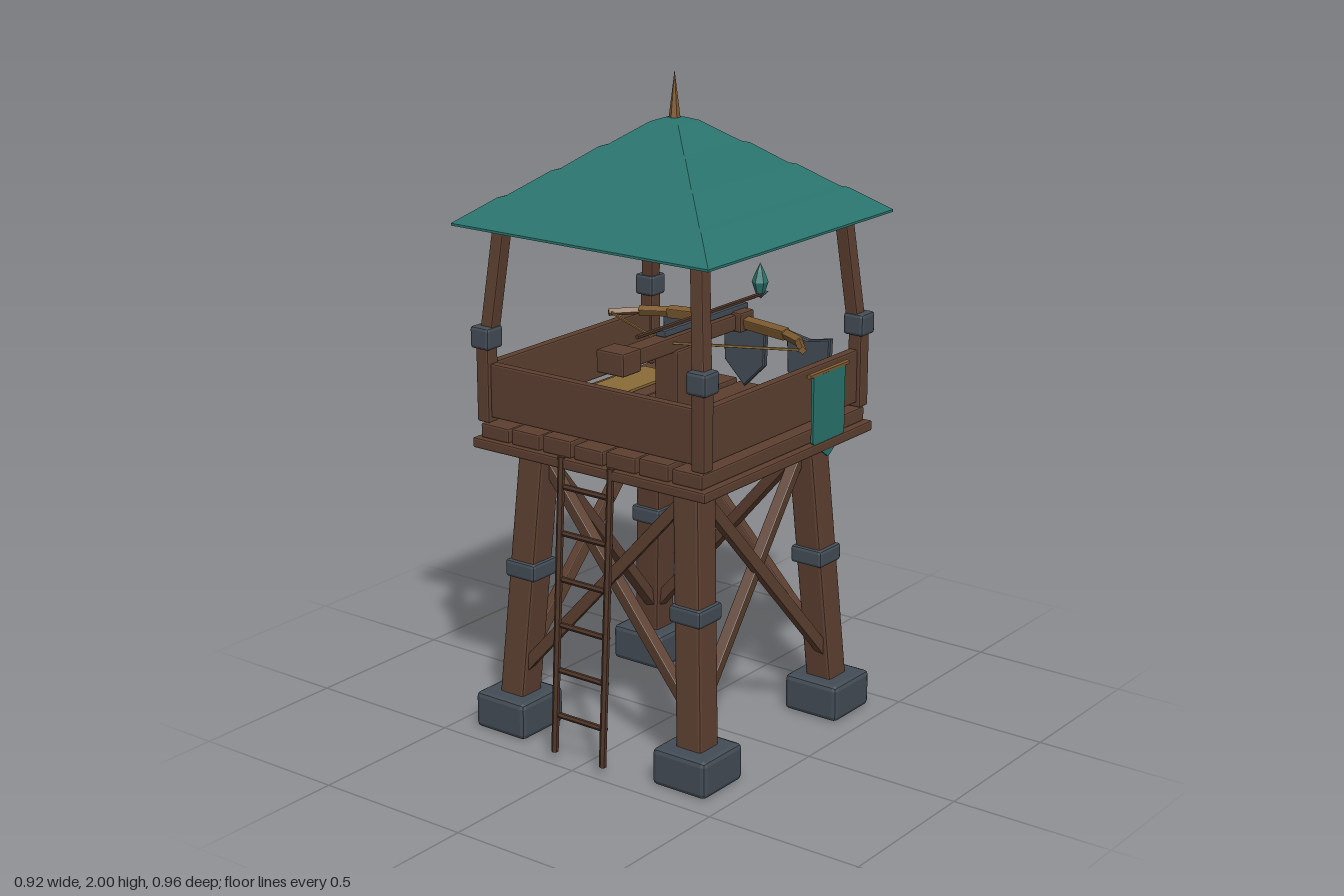
import * as THREE from 'three';
import { RoundedBoxGeometry } from 'three/addons/geometries/RoundedBoxGeometry.js';

const paint = (name, color) => {
  const m = new THREE.MeshStandardMaterial({ color });
  m.name = name;
  return m;
};

export function createModel() {
  const model = new THREE.Group();
  model.name = 'watchtower';
  const wood = paint('wood', 0x5c3f30);
  const darkWood = paint('dark wood', 0x4d3427);
  const slate = paint('slate', 0x434c55);
  const teal = paint('teal', 0x2a736d);
  const straw = paint('straw', 0x8a6c38);
  const brass = paint('brass', 0x7d5a30);

  // Faceted normals on any geometry
  const flat = (g) => {
    const f = g.index ? g.toNonIndexed() : g;
    f.computeVertexNormals();
    return f;
  };
  const add = (name, geometry, material, x = 0, y = 0, z = 0) => {
    const m = new THREE.Mesh(flat(geometry), material);
    m.name = name;
    m.position.set(x, y, z);
    model.add(m);
    return m;
  };
  // Chamfered block
  const block = (name, w, h, d, material, x, y, z, bevel = 0.006) =>
    add(name, new RoundedBoxGeometry(w, h, d, 1, bevel), material, x, y, z);
  // Square or round bar between two points
  const UP = new THREE.Vector3(0, 1, 0);
  const bar = (name, a, b, w, material, sides = 0) => {
    const p = new THREE.Vector3(...a), q = new THREE.Vector3(...b);
    const len = p.distanceTo(q);
    const g = sides ? new THREE.CylinderGeometry(w / 2, w / 2, len, sides)
      : new RoundedBoxGeometry(w, len, w, 1, w * 0.1);
    const m = add(name, g, material);
    m.position.copy(p).lerp(q, 0.5);
    m.quaternion.setFromUnitVectors(UP, q.sub(p).normalize());
    return m;
  };

  // Four corners: footing, leaning leg, collar, railing post, roof post
  for (const sx of [-1, 1]) {
    for (const sz of [-1, 1]) {
      const at = (r, y) => [sx * r, y, sz * r];
      block('footing', 0.19, 0.115, 0.19, slate, ...at(0.337, 0.0575), 0.015);
      bar('leg', at(0.336, 0.08), at(0.283, 0.9), 0.09, wood);
      block('legCollar', 0.112, 0.055, 0.112, slate, ...at(0.307, 0.512), 0.01);
      block('cornerPost', 0.046, 0.24, 0.046, wood, ...at(0.391, 1.095));
      block('postCollar', 0.07, 0.068, 0.07, slate, ...at(0.391, 1.232), 0.01);
      bar('roofPost', at(0.386, 1.22), at(0.352, 1.58), 0.042, wood);
    }
  }

  // Crossed braces on every side
  for (const s of [-1, 1]) {
    for (const d of [-1, 1]) {
      const off = d * 0.012;
      bar('brace', [d * 0.27, 0.85, s * 0.285 + off], [-d * 0.315, 0.19, s * 0.33 + off], 0.036, wood);
      bar('brace', [s * 0.285 + off, 0.85, d * 0.27], [s * 0.33 + off, 0.19, -d * 0.315], 0.036, wood);
    }
  }

  // Ladder leaning on the front
  const ladderZ = (y) => 0.468 - (y - 0.03) * 0.054;
  for (const s of [-1, 1]) {
    bar('ladderRail', [s * 0.09, 0.025, ladderZ(0.025)], [s * 0.09, 0.93, ladderZ(0.93)], 0.022, darkWood, 6);
  }
  for (let i = 0; i < 6; i++) {
    const y = 0.14 + i * 0.14;
    bar('ladderRung', [-0.095, y, ladderZ(y) - 0.006], [0.095, y, ladderZ(y) - 0.006], 0.018, darkWood, 6);
  }

  // Platform and floor planks
  block('platform', 0.85, 0.032, 0.85, wood, 0, 0.91, 0);
  for (let i = 0; i < 7; i++) {
    const h = 0.045 + (i % 3) * 0.004;
    block('plank', 0.106, h, 0.82, wood, (i - 3) * 0.117, 0.925 + h / 2, 0);
  }

  // Parapet on three sides, straw mats along the side walls
  block('frontWall', 0.74, 0.165, 0.03, wood, 0, 1.073, 0.388);
  for (const s of [-1, 1]) {
    block('sideWall', 0.03, 0.165, 0.74, wood, s * 0.388, 1.073, 0);
    add('strawMat', new THREE.BoxGeometry(0.13, 0.008, 0.62), straw, s * 0.29, 0.982, 0);
  }

  // Shields along the open back
  const shieldShape = new THREE.Shape([[-0.075, 0.19], [-0.07, 0.07], [0, 0], [0.07, 0.07], [0.075, 0.19], [0, 0.175]]
    .map((p) => new THREE.Vector2(...p)));
  for (const x of [-0.235, 0, 0.235]) {
    add('shield', new THREE.ExtrudeGeometry(shieldShape, {
      depth: 0.014, bevelThickness: 0.004, bevelSize: 0.004, bevelSegments: 1,
    }), slate, x, 0.98, -0.37);
  }

  // Banner on the left wall
  const cloth = new THREE.Shape([[-0.0825, 0.265], [-0.0825, 0.06], [0, 0], [0.0825, 0.06], [0.0825, 0.265]]
    .map((p) => new THREE.Vector2(...p)));
  add('banner', new THREE.ExtrudeGeometry(cloth, { depth: 0.008, bevelEnabled: false }),
    teal, 0.414, 0.872, -0.192).rotation.y = Math.PI / 2;
  bar('bannerRod', [0.417, 1.138, -0.092], [0.417, 1.138, -0.292], 0.016, brass, 6);

  // Roof of four slightly stepped tiers
  const R = Math.SQRT2;
  const roofProfile = [[0, 1.565], [0.458, 1.565], [0.458, 1.572], [0.363, 1.643], [0.345, 1.648],
    [0.253, 1.717], [0.235, 1.722], [0.155, 1.784], [0.137, 1.789], [0.05, 1.853], [0.025, 1.862], [0, 1.864]]
    .map(([r, y]) => new THREE.Vector2(r * R, y));
  add('roof', new THREE.LatheGeometry(roofProfile, 4, Math.PI / 4), teal);
  add('finial', new THREE.ConeGeometry(0.018, 0.145, 6), brass, 0, 1.9275, 0);

  // Mounted bolt thrower aimed to the back
  block('pedestalFoot', 0.13, 0.03, 0.13, darkWood, 0, 0.985, 0);
  block('pedestal', 0.085, 0.19, 0.085, wood, 0, 1.085, 0);
  block('stock', 0.06, 0.05, 0.62, wood, 0, 1.198, -0.02);
  block('stockButt', 0.1, 0.07, 0.085, wood, 0, 1.198, 0.265);
  block('bowMount', 0.1, 0.062, 0.07, wood, 0, 1.2, -0.3);
  block('boltRail', 0.035, 0.02, 0.42, slate, 0, 1.234, -0.14, 0.004);
  bar('bolt', [0, 1.248, 0.18], [0, 1.248, -0.45], 0.014, darkWood, 6);
  add('boltTip', new THREE.ConeGeometry(0.014, 0.045, 4), slate, 0, 1.248, -0.46).rotation.x = -Math.PI / 2;
  for (const s of [-1, 1]) {
    bar('bowArm', [s * 0.03, 1.196, -0.3], [s * 0.22, 1.196, -0.26], 0.032, brass);
    bar('bowArm', [s * 0.21, 1.196, -0.263], [s * 0.3, 1.196, -0.215], 0.024, brass);
    bar('bowTip', [s * 0.29, 1.196, -0.222], [s * 0.36, 1.196, -0.14], 0.018, brass);
    bar('bowString', [s * 0.355, 1.196, -0.145], [s * 0.02, 1.205, 0.05], 0.009, straw, 5);
  }

  // Upright gem near the end of the bolt
  const gem = [[0, 1.25], [0.014, 1.252], [0.026, 1.288], [0.013, 1.322], [0, 1.348]]
    .map((p) => new THREE.Vector2(...p));
  add('gem', new THREE.LatheGeometry(gem, 6), teal, 0, 0, -0.435);
  return model;
}
